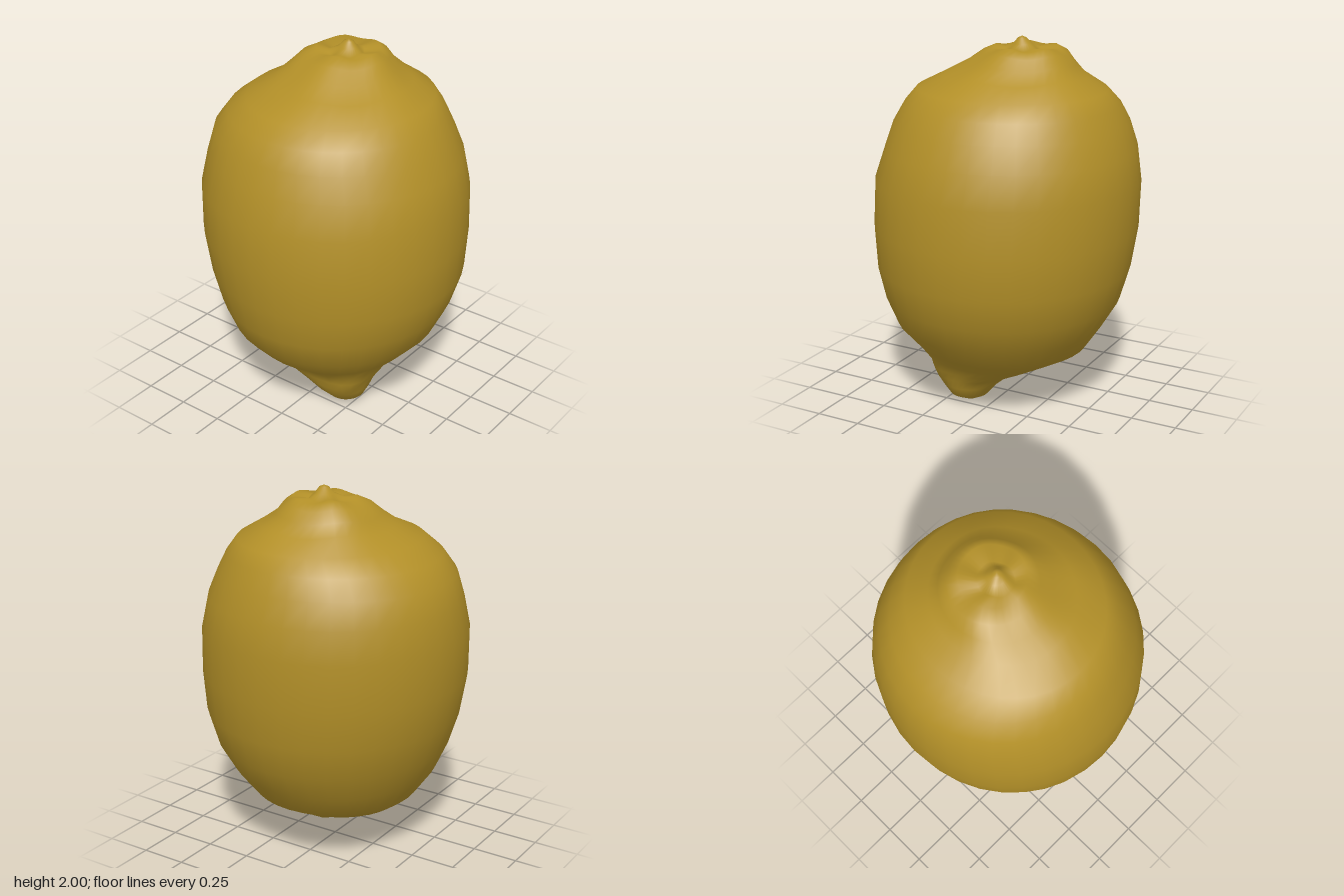
import * as THREE from 'three';

// Cross-sections from the bottom up: [y, left-hand x, right-hand x, back z, front z, nub bulge]
const RINGS = [
  [0.005, 0.12, 0.21, 0.10, 0.18, 0],
  [0.04, 0.08, 0.28, 0.04, 0.25, 0],
  [0.10, 0.00, 0.31, -0.01, 0.305, 0.02],
  [0.15, -0.10, 0.325, -0.07, 0.33, 0.12],
  [0.20, -0.26, 0.35, -0.20, 0.35, 0.17],
  [0.25, -0.36, 0.38, -0.31, 0.38, 0.13],
  [0.32, -0.45, 0.46, -0.44, 0.48, 0.03],
  [0.45, -0.54, 0.58, -0.53, 0.60, 0],
  [0.60, -0.61, 0.65, -0.62, 0.66, 0],
  [0.78, -0.67, 0.705, -0.67, 0.695, 0],
  [1.00, -0.71, 0.715, -0.70, 0.715, 0],
  [1.25, -0.715, 0.705, -0.705, 0.705, 0],
  [1.42, -0.69, 0.66, -0.68, 0.65, 0],
  [1.55, -0.65, 0.605, -0.635, 0.61, 0],
  [1.65, -0.575, 0.55, -0.59, 0.55, 0],
  [1.73, -0.47, 0.485, -0.535, 0.475, 0],
  [1.80, -0.345, 0.36, -0.42, 0.32, 0],
  [1.86, -0.285, 0.265, -0.36, 0.21, 0],
  [1.915, -0.235, 0.215, -0.32, 0.13, 0],
  [1.945, -0.17, 0.165, -0.27, 0.06, 0],
  [1.935, -0.09, 0.09, -0.18, 0.01, 0],
  [1.96, -0.045, 0.055, -0.14, -0.04, 0],
  [1.99, -0.015, 0.035, -0.11, -0.065, 0],
];
const SEGMENTS = 36;

// Closed smooth skin through the off-centre oval sections
function fruitGeometry() {
  const pos = [0.17, 0, 0.14]; // bottom pole
  const index = [];
  for (const [y, x0, x1, z0, z1, bulge] of RINGS) {
    for (let j = 0; j < SEGMENTS; j++) {
      const a = (j / SEGMENTS) * Math.PI * 2;
      // the bottom nub swells towards the front left
      const d = Math.atan2(Math.sin(a - 0.8), Math.cos(a - 0.8));
      const r = 1 + bulge * Math.exp(-((d / 0.4) ** 2));
      // gentle lobes around the stem collar
      const lobe = y > 1.79 && y < 1.95 ? 0.012 * Math.sin(5 * a + 0.6) : 0;
      pos.push(
        (x0 + x1) / 2 + ((x1 - x0) / 2) * r * Math.sin(a),
        y + lobe * 0.6,
        (z0 + z1) / 2 + ((z1 - z0) / 2) * r * Math.cos(a)
      );
    }
  }
  pos.push(0.01, 2, -0.088); // stem tip
  const top = pos.length / 3 - 1;
  const id = (i, j) => 1 + i * SEGMENTS + (j % SEGMENTS);
  const last = RINGS.length - 1;
  for (let j = 0; j < SEGMENTS; j++) {
    index.push(0, id(0, j + 1), id(0, j));
    for (let i = 0; i < last; i++) {
      index.push(id(i, j), id(i, j + 1), id(i + 1, j + 1));
      index.push(id(i, j), id(i + 1, j + 1), id(i + 1, j));
    }
    index.push(id(last, j), id(last, j + 1), top);
  }
  const geo = new THREE.BufferGeometry();
  geo.setAttribute('position', new THREE.Float32BufferAttribute(pos, 3));
  geo.setIndex(index);
  geo.computeVertexNormals();
  return geo;
}

export function createModel() {
  const group = new THREE.Group();
  group.name = 'lemon';
  const peel = new THREE.MeshStandardMaterial({ color: 0xb39028 });
  peel.name = 'lemon peel yellow';
  const fruit = new THREE.Mesh(fruitGeometry(), peel);
  fruit.name = 'fruit';
  group.add(fruit);
  return group;
}
